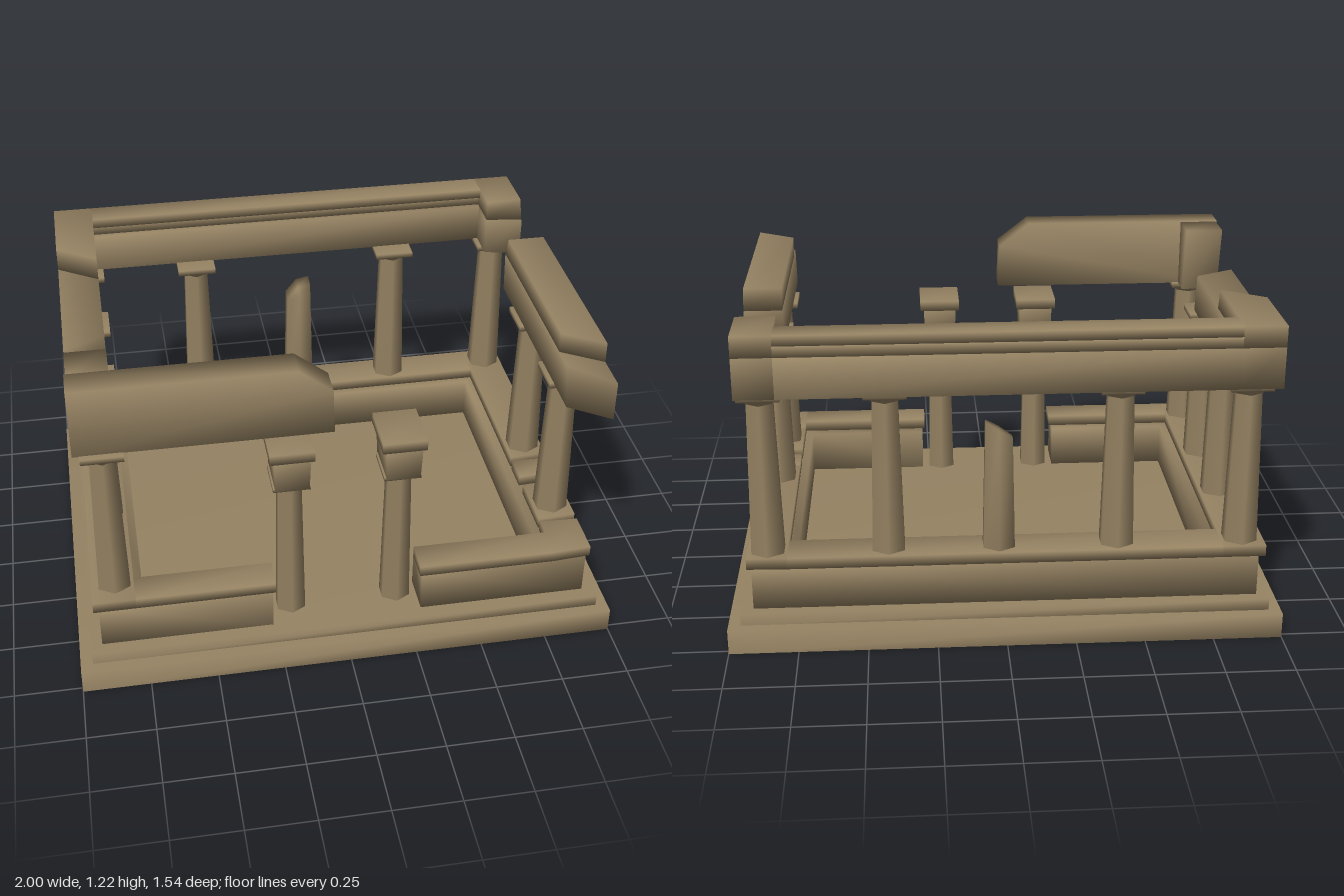
import * as THREE from 'three';
import { mergeVertices } from 'three/addons/utils/BufferGeometryUtils.js';

const stone = new THREE.MeshStandardMaterial({ color: 0x968363, side: THREE.DoubleSide });
stone.name = 'weathered stone';

// Weld shared corners so the shading runs softly across the edges
function soften(geo) {
  geo.deleteAttribute('uv');
  geo.deleteAttribute('normal');
  const g = mergeVertices(geo);
  g.computeVertexNormals();
  return g;
}

export function createModel() {
  const model = new THREE.Group();
  model.name = 'ruinedTemple';

  const add = (name, geo, parent = model) => {
    const m = new THREE.Mesh(geo, stone);
    m.name = name;
    parent.add(m);
    return m;
  };

  // Box geometry given by its limits
  const boxGeo = ([x0, x1], [y0, y1], [z0, z1]) =>
    new THREE.BoxGeometry(x1 - x0, y1 - y0, z1 - z0).translate((x0 + x1) / 2, (y0 + y1) / 2, (z0 + z1) / 2);

  // Softened box; an optional rule moves its corners
  const block = (name, xs, ys, zs, rule, parent) => {
    const g = boxGeo(xs, ys, zs);
    if (rule) {
      const p = g.attributes.position, v = new THREE.Vector3();
      const mid = r => (r[0] + r[1]) / 2;
      for (let i = 0; i < p.count; i++) {
        v.fromBufferAttribute(p, i);
        rule(v, { right: v.x > mid(xs), top: v.y > mid(ys), front: v.z > mid(zs) });
        p.setXYZ(i, v.x, v.y, v.z);
      }
    }
    return add(name, soften(g), parent);
  };

  // Platform steps are hollow underneath: a box without its bottom face
  const step = (name, xs, ys, zs) => {
    const g = boxGeo(xs, ys, zs);
    const index = [...g.index.array];
    index.splice(18, 6);
    g.setIndex(index);
    add(name, soften(g));
  };
  step('lowerStep', [-1, 1], [0, 0.095], [-0.77, 0.77]);
  step('upperStep', [-0.955, 0.955], [0.095, 0.14], [-0.735, 0.73]);

  // Low wall in one piece, open at the front entrance (plan drawn as x, -z)
  const plan = new THREE.Shape([
    [-0.28, -0.68], [-0.28, -0.53], [-0.75, -0.53], [-0.75, 0.54], [0.75, 0.54], [0.75, -0.53],
    [0.28, -0.53], [0.28, -0.68], [0.91, -0.68], [0.91, 0.695], [-0.915, 0.695], [-0.915, -0.68],
  ].map(p => new THREE.Vector2(...p)));
  const wall = new THREE.ExtrudeGeometry(plan, { depth: 0.17, bevelEnabled: false });
  wall.rotateX(-Math.PI / 2).translate(0, 0.135, 0);
  add('wall', soften(wall));

  // Coping on the wall, cracked into pieces along the left side
  const C = [0.305, 0.347];
  block('rightCoping', [-0.935, -0.78], C, [-0.715, 0.69]);
  block('backCoping', [-0.78, 0.78], C, [-0.715, -0.57]);
  block('frontCoping', [-0.78, -0.27], C, [0.57, 0.69]);
  block('frontCoping', [0.27, 0.78], C, [0.57, 0.69]);
  for (const z of [[-0.715, 0.09], [0.11, 0.22], [0.27, 0.49], [0.505, 0.69]])
    block('leftCoping', [0.78, 0.925], C, z, (v, s) => { if (s.right) v.z += s.front ? -0.01 : 0.005; });

  // Tapered shaft with six sides
  const shaft = (y0, y1, r0, r1) =>
    new THREE.CylinderGeometry(r1, r0, y1 - y0, 6).translate(0, (y0 + y1) / 2, 0);

  // Columns standing on the wall, with flared necks and square slabs
  const spots = [
    [-0.85, -0.64], [-0.4, -0.64], [0.42, -0.64], [0.85, -0.64],
    [-0.85, -0.225], [-0.85, 0.155], [-0.85, 0.58], [0.85, 0], [0.85, 0.395],
  ];
  for (const [x, z] of spots) {
    const col = new THREE.Group();
    col.name = 'column';
    col.position.set(x, 0, z);
    add('shaft', shaft(0.34, 0.93, 0.067, 0.052), col);
    add('neck', shaft(0.918, 0.942, 0.055, 0.073), col);
    block('slab', [-0.075, 0.075], [0.94, 0.962], [-0.075, 0.075], null, col);
    model.add(col);
  }

  // Broken column at the back
  const stump = shaft(0.34, 0.8, 0.065, 0.055);
  const sp = stump.attributes.position;
  for (let i = 0; i < sp.count; i++)
    if (sp.getY(i) > 0.7) sp.setY(i, 0.795 + sp.getX(i) * 0.65 - sp.getZ(i) * 0.2);
  add('brokenColumn', soften(stump)).position.set(0.025, 0, -0.64);

  // Entrance columns with block capitals
  for (const x of [-0.2, 0.2]) {
    const col = new THREE.Group();
    col.name = 'entranceColumn';
    col.position.set(x, 0, 0.57);
    add('shaft', shaft(0.13, 0.72, 0.06, 0.049), col);
    add('collar', shaft(0.712, 0.735, 0.052, 0.073), col);
    block('collarSlab', [-0.068, 0.068], [0.733, 0.75], [-0.078, 0.078], null, col);
    block('capital', [-0.066, 0.066], [0.745, 0.875], [-0.094, 0.094],
      (v, s) => { if (!s.top) { v.x *= 0.93; v.z *= 0.94; } }, col);
    block('capitalSlab', [-0.08, 0.08], [0.87, 0.91], [-0.1, 0.1], null, col);
    model.add(col);
  }

  // Back beam: lower course, recessed band and top course
  const L = [0.96, 1.11], N = [1.11, 1.15], U = [1.15, 1.187], T = [1.11, 1.187];
  block('backBeam', [-0.8, 0.79], L, [-0.742, -0.64]);
  block('backBeamBand', [-0.8, 0.79], N, [-0.742, -0.66]);
  block('backBeamTop', [-0.8, 0.79], U, [-0.742, -0.64]);

  // Right beam: the lower course runs further than the broken upper one
  block('rightBeam', [-0.95, -0.8], L, [-0.742, 0.22],
    (v, s) => { if (s.front) v.z -= (s.right ? 0.08 : 0) + (s.top ? 0.03 : 0); });
  block('rightBeamTop', [-0.95, -0.8], T, [-0.742, -0.3],
    (v, s) => { if (s.front) v.z -= (s.right ? 0 : 0.1) + (s.top ? 0.02 : 0); });

  // Stub of the left beam at the back corner
  block('leftBeamStub', [0.79, 0.93], L, [-0.742, -0.49],
    (v, s) => { if (s.front && !s.right) v.z -= 0.03; });
  block('leftBeamStubTop', [0.79, 0.93], T, [-0.742, -0.52],
    (v, s) => { if (s.front && s.right) v.z -= s.top ? 0.01 : -0.02; });

  // Detached left beam with slanted broken ends
  block('leftBeam', [0.79, 0.93], L, [-0.22, 0.72],
    (v, s) => {
      if (s.front && !s.right) v.z = s.top ? 0.58 : 0.62;
      if (!s.front && s.top) v.z -= 0.012;
    });
  block('leftBeamTop', [0.79, 0.93], T, [-0.23, 0.58],
    (v, s) => {
      if (s.front && !s.right) v.z = 0.49;
      if (!s.front && s.top) v.z += 0.025;
    });

  // Front beam fragment, chamfered at its broken end, and its corner return
  const frag = new THREE.Shape([
    [-0.95, 0.96], [-0.045, 0.96], [-0.05, 1.13], [-0.17, 1.223], [-0.95, 1.223],
  ].map(p => new THREE.Vector2(...p)));
  const fg = new THREE.ExtrudeGeometry(frag, { depth: 0.115, bevelEnabled: false });
  add('frontBeam', soften(fg.translate(0, 0, 0.515)));
  block('frontBeamReturn', [-0.945, -0.8], [0.96, 1.22], [0.375, 0.52],
    (v, s) => { if (!s.front && !s.top) v.z += 0.05; });

  return model;
}
